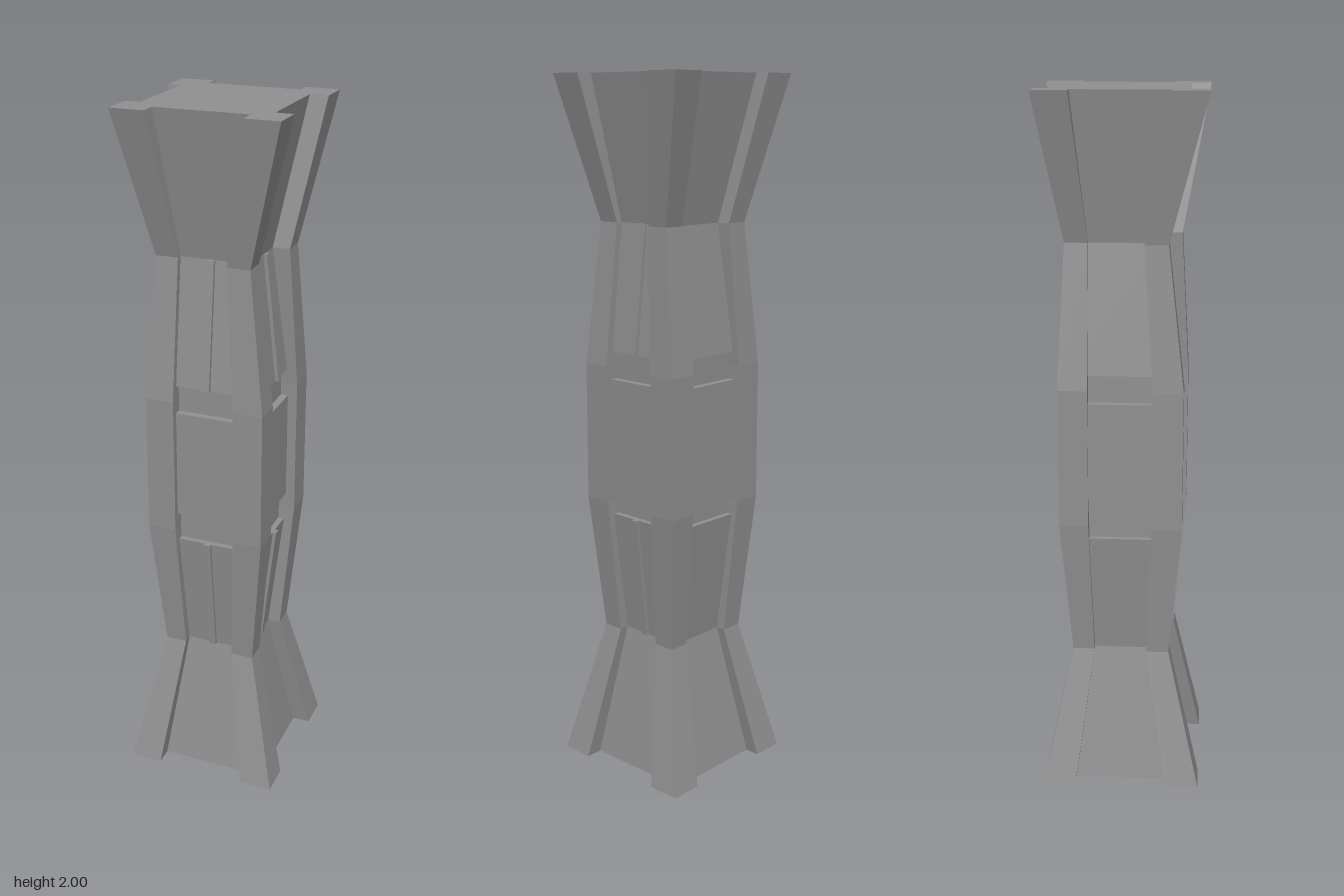
import * as THREE from 'three';

// Loft of rectangular sections, each [y, xMin, xMax, zMin, zMax], closed at both ends.
function loft(sections) {
  const positions = [];
  const rings = sections.map(([y, x0, x1, z0, z1]) =>
    [[x0, y, z1], [x1, y, z1], [x1, y, z0], [x0, y, z0]]);
  const quad = (a, b, c, d) => positions.push(...a, ...b, ...c, ...a, ...c, ...d);
  for (let i = 0; i < rings.length - 1; i++) {
    const lo = rings[i], hi = rings[i + 1];
    for (let k = 0; k < 4; k++) {
      const n = (k + 1) % 4;
      quad(lo[k], lo[n], hi[n], hi[k]);
    }
  }
  const bottom = rings[0], top = rings[rings.length - 1];
  quad(...top);
  quad(bottom[3], bottom[2], bottom[1], bottom[0]);
  const geometry = new THREE.BufferGeometry();
  geometry.setAttribute('position', new THREE.Float32BufferAttribute(positions, 3));
  geometry.computeVertexNormals();
  return geometry;
}

export function createModel() {
  const model = new THREE.Group();
  model.name = 'pillar';
  const stone = new THREE.MeshStandardMaterial({ color: 0x909090 });
  stone.name = 'grey stone';

  const add = (parent, name, geometry) => {
    const mesh = new THREE.Mesh(geometry, stone);
    mesh.name = name;
    parent.add(mesh);
    return mesh;
  };

  // Core: square shaft with two recessed bands around the middle panel
  const offset = -0.005;
  const coreProfile = [
    [0, 0.183], [0.4, 0.112], [0.76, 0.152], [0.76, 0.135], [0.845, 0.135],
    [0.845, 0.156], [1.16, 0.156], [1.16, 0.135], [1.24, 0.135],
    [1.24, 0.152], [1.6, 0.112], [2, 0.183],
  ];
  add(model, 'core', loft(coreProfile.map(([y, h]) =>
    [y, offset - h, offset + h, offset - h, offset + h])));

  // Corner post: narrow at the two waists, shifted a little sideways there
  const postGeometry = loft([
    [0, -0.23, -0.135, 0.132, 0.228],
    [0.4, -0.145, -0.083, 0.07, 0.135],
    [0.8, -0.178, -0.095, 0.085, 0.17],
    [1.2, -0.178, -0.095, 0.085, 0.17],
    [1.6, -0.157, -0.093, 0.06, 0.125],
    [2, -0.23, -0.133, 0.131, 0.228],
  ]);

  // Thin ribs running up the sloping faces above and below the panel
  const ribSection = (y, z) => [y, -0.013, 0.007, z - 0.03, z];
  const lowerRib = loft([ribSection(0.4, 0.117), ribSection(0.76, 0.157)]);
  const upperRib = loft([ribSection(1.24, 0.157), ribSection(1.6, 0.117)]);

  // Repeat post and ribs around the four sides
  for (let i = 0; i < 4; i++) {
    const side = new THREE.Group();
    side.name = ['frontSide', 'leftSide', 'backSide', 'rightSide'][i];
    side.rotation.y = i * Math.PI / 2;
    add(side, 'cornerPost', postGeometry);
    add(side, 'lowerRib', lowerRib);
    add(side, 'upperRib', upperRib);
    model.add(side);
  }
  return model;
}
